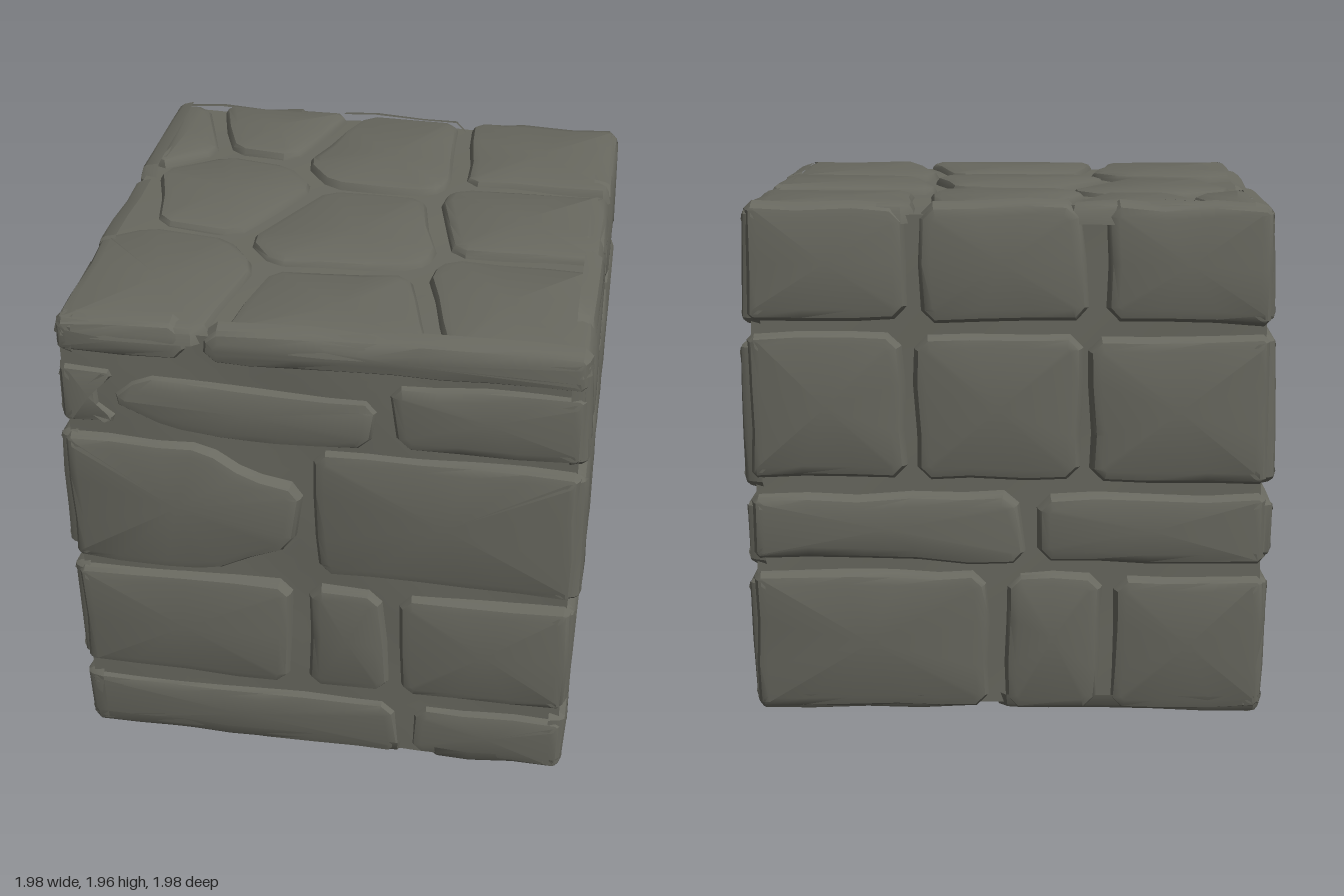
import * as THREE from 'three';
import { toCreasedNormals } from 'three/addons/utils/BufferGeometryUtils.js';

const MID = 0.98; // height of the block's centre
const GAP = 0.032; // half the width of a mortar joint
const RIM = 0.948; // outermost stone outline
const END = RIM + GAP; // joint position just past a corner
let seed = 7;
const rand = () => {
  seed = (seed * 16807) % 2147483647;
  return (seed / 2147483647) * 2 - 1;
};
const vec = (x, y) => new THREE.Vector2(x, y);

// Courses of a wall: bottom, top, then the joints between its stones
const frontCourses = [
  [0.03, 0.28, -END, 0.33, END],
  [0.35, 0.84, -END, -0.09, 0.28, END],
  [0.91, 1.47, -0.05, END],
  [1.51, 1.78, 0.24, END],
  [1.81, 1.94, -END, -0.44, END],
];
// Front stones with broken ends
const brokenStones = [
  [[-RIM, 0.89], [-0.42, 0.88], [-0.1, 1.03], [-0.06, 1.3], [-0.26, 1.34], [-0.42, 1.45], [-RIM, 1.45]],
  [[-0.78, 1.61], [-0.55, 1.51], [-0.2, 1.48], [0.19, 1.5], [0.22, 1.7], [-0.65, 1.73]],
  [[-RIM, 1.51], [-0.72, 1.52], [-0.85, 1.62], [-0.72, 1.74], [-RIM, 1.75]],
];
const rightCourses = [
  [0.04, 0.31, -END, 0.33],
  [0.04, 0.53, 0.37, END],
  [0.37, 0.85, -END, -0.2, 0.34],
  [0.59, 0.85, 0.35, END],
  [0.9, 1.45, -END, -0.65, 0, 0.56, END],
  [1.52, 1.77, -0.74, 0.33],
  [1.5, 1.93, -END, -0.75],
  [1.52, 1.94, 0.36, END],
  [1.83, 1.94, -0.74, -0.13, 0.28],
];
const backCourses = [
  [0.03, 0.56, -END, -0.05, 0.37, END],
  [0.62, 0.87, -END, 0.08, END],
  [0.93, 1.46, -END, -0.35, 0.28, END],
  [1.52, 1.94, -END, -0.36, 0.31, END],
];
const leftCourses = [
  [0.04, 0.55, -END, -0.15],
  [0.04, 0.3, -0.13, END],
  [0.62, 0.86, -END, -0.5, -0.1],
  [0.37, 0.84, -0.1, 0.5, END],
  [0.92, 1.46, -END, 0.37, END],
  [1.52, 1.94, -END, -0.25, 0.42],
  [1.52, 1.73, 0.42, END],
  [1.8, 1.94, 0.42, END],
];
// Stone centres of the cobbled top and base; one beyond the rim only leaves bare mortar
const topCentres = [[-0.92, 0.65], [-0.5, 0.78], [0, 0.6], [0.66, 0.64], [-0.58, 0.18], [-1.15, 0.05],
  [0.66, 0.04], [-0.02, -0.12], [-0.68, -0.58], [0.03, -0.7], [0.66, -0.54]];
const baseCentres = [[-0.42, -0.65], [0.55, -0.6], [-0.6, 0.05], [0.05, 0], [0.7, 0.4], [-0.2, 0.7]];

// Four-cornered stones, slightly out of square, between the joints of each course
function courseOutlines(courses) {
  const wobble = (x, y) => vec(Math.abs(x) > 0.93 ? x : x + rand() * 0.022, y + rand() * 0.012);
  return courses.flatMap(([y0, y1, ...joints]) => joints.slice(1).map((end, i) => {
    const a = joints[i] + GAP, b = end - GAP;
    return [wobble(a, y0), wobble(b, y0), wobble(b, y1), wobble(a, y1)];
  }));
}

// Cobbles: a square cut back halfway towards every neighbouring centre
function cobbleOutlines(centres) {
  const points = centres.map(([x, y]) => vec(x, y));
  return points.filter((c) => Math.abs(c.x) < RIM).map((c) => {
    let cell = [vec(-RIM, -RIM), vec(RIM, -RIM), vec(RIM, RIM), vec(-RIM, RIM)];
    for (const other of points) {
      if (other === c) continue;
      const dir = other.clone().sub(c);
      const limit = dir.length() / 2 - GAP;
      dir.normalize();
      const side = (p) => p.clone().sub(c).dot(dir) - limit;
      cell = cell.flatMap((a, i) => {
        const b = cell[(i + 1) % cell.length], sa = side(a), sb = side(b);
        const kept = sa <= 0 ? [a] : [];
        if (sa * sb < 0) kept.push(a.clone().lerp(b, sa / (sa - sb)));
        return kept;
      });
    }
    return cell.filter((p, i) => p.distanceTo(cell[(i + 1) % cell.length]) > 0.07);
  });
}

// Chip the corners and break up long edges so outlines look hand cut
function roughen(points) {
  const chip = (p, len) => Math.min(Math.abs(p.x) > 0.93 ? 0.02 : 0.045, len * 0.3) / len;
  return points.flatMap((a, i) => {
    const b = points[(i + 1) % points.length], len = a.distanceTo(b);
    const out = [a.clone().lerp(b, chip(a, len))];
    const steps = Math.floor(len / 0.17);
    for (let k = 1; k < steps; k++) {
      out.push(a.clone().lerp(b, k / steps).add(vec(rand() * 0.01, rand() * 0.01)));
    }
    out.push(a.clone().lerp(b, 1 - chip(b, len)));
    return out;
  });
}

// Move every outline point inward by a distance
function inset(points, d) {
  const n = points.length;
  return points.map((p, i) => {
    const t = points[(i + 1) % n].clone().sub(points[(i + n - 1) % n]).normalize();
    return vec(p.x - t.y * d, p.y + t.x * d);
  });
}

// A stone: loops rising from the mortar, worn edge, gently tilted face
function stoneGeometry(outline, reach, map) {
  const base = roughen(outline), n = base.length;
  const c = base.reduce((s, p) => s.add(p), vec(0, 0)).divideScalar(n);
  const tx = rand() * 0.014, ty = rand() * 0.014, lift = rand() * 0.005;
  const loops = [[-0.012, reach - 0.07], [0, reach - 0.026], [0.012, reach - 0.009], [0.042, reach]];
  const pos = [], idx = [];
  loops.forEach(([d, w], k) => inset(base, d).forEach((p) => {
    const slope = k ? (p.x - c.x) * tx + (p.y - c.y) * ty + lift + rand() * 0.002 : 0;
    pos.push(...map(p.x, p.y, w + slope));
  }));
  pos.push(...map(c.x, c.y, reach + lift + 0.001));
  for (let i = 0; i < n; i++) {
    const j = (i + 1) % n;
    for (let k = 0; k < loops.length - 1; k++) {
      const a = k * n + i, b = k * n + j;
      idx.push(a, b, b + n, a, b + n, a + n);
    }
    const last = (loops.length - 1) * n;
    idx.push(last + i, last + j, loops.length * n);
  }
  const g = new THREE.BufferGeometry();
  g.setAttribute('position', new THREE.Float32BufferAttribute(pos, 3));
  g.setIndex(idx);
  return toCreasedNormals(g, 0.6);
}

export function createModel() {
  const model = new THREE.Group();
  model.name = 'stoneBlock';
  const stone = new THREE.MeshStandardMaterial({ color: 0x68685f });
  stone.name = 'grey stone';

  // Uneven mortar core
  const core = new THREE.BoxGeometry(1.876, 1.86, 1.876, 24, 24, 24);
  const p = core.attributes.position;
  for (let i = 0; i < p.count; i++) {
    const x = p.getX(i), y = p.getY(i), z = p.getZ(i);
    const s = 1 + 0.006 * Math.sin(x * 7 + y * 5) * Math.cos(z * 6 - y * 4);
    p.setXYZ(i, x * s, y * s + MID, z * s);
  }
  core.computeVertexNormals();
  const mortar = new THREE.Mesh(core, stone);
  mortar.name = 'mortarCore';
  model.add(mortar);

  // Stones set into one side; map turns (across, up, outward) into model space
  const addSide = (name, outlines, reach, map) => {
    const wall = new THREE.Group();
    wall.name = name + 'Stones';
    outlines.forEach((outline, i) => {
      const mesh = new THREE.Mesh(stoneGeometry(outline, reach, map), stone);
      mesh.name = `${name}Stone${i + 1}`;
      wall.add(mesh);
    });
    model.add(wall);
  };
  // Walls swell slightly at mid height
  const belly = (v, w) => w - 0.024 * (v - 1) ** 2;
  const broken = brokenStones.map((outline) => outline.map(([x, y]) => vec(x, y)));
  addSide('front', [...courseOutlines(frontCourses), ...broken], 0.98, (u, v, w) => [u, v, belly(v, w)]);
  addSide('right', courseOutlines(rightCourses), 0.98, (u, v, w) => [belly(v, w), v, -u]);
  addSide('back', courseOutlines(backCourses), 0.99, (u, v, w) => [-u, v, -belly(v, w)]);
  addSide('left', courseOutlines(leftCourses), 0.978, (u, v, w) => [-belly(v, w), v, u]);
  addSide('top', cobbleOutlines(topCentres), 0.965, (u, v, w) => [u, MID + w, -v]);
  addSide('base', cobbleOutlines(baseCentres), 0.962, (u, v, w) => [u, MID - w, v]);
  return model;
}
